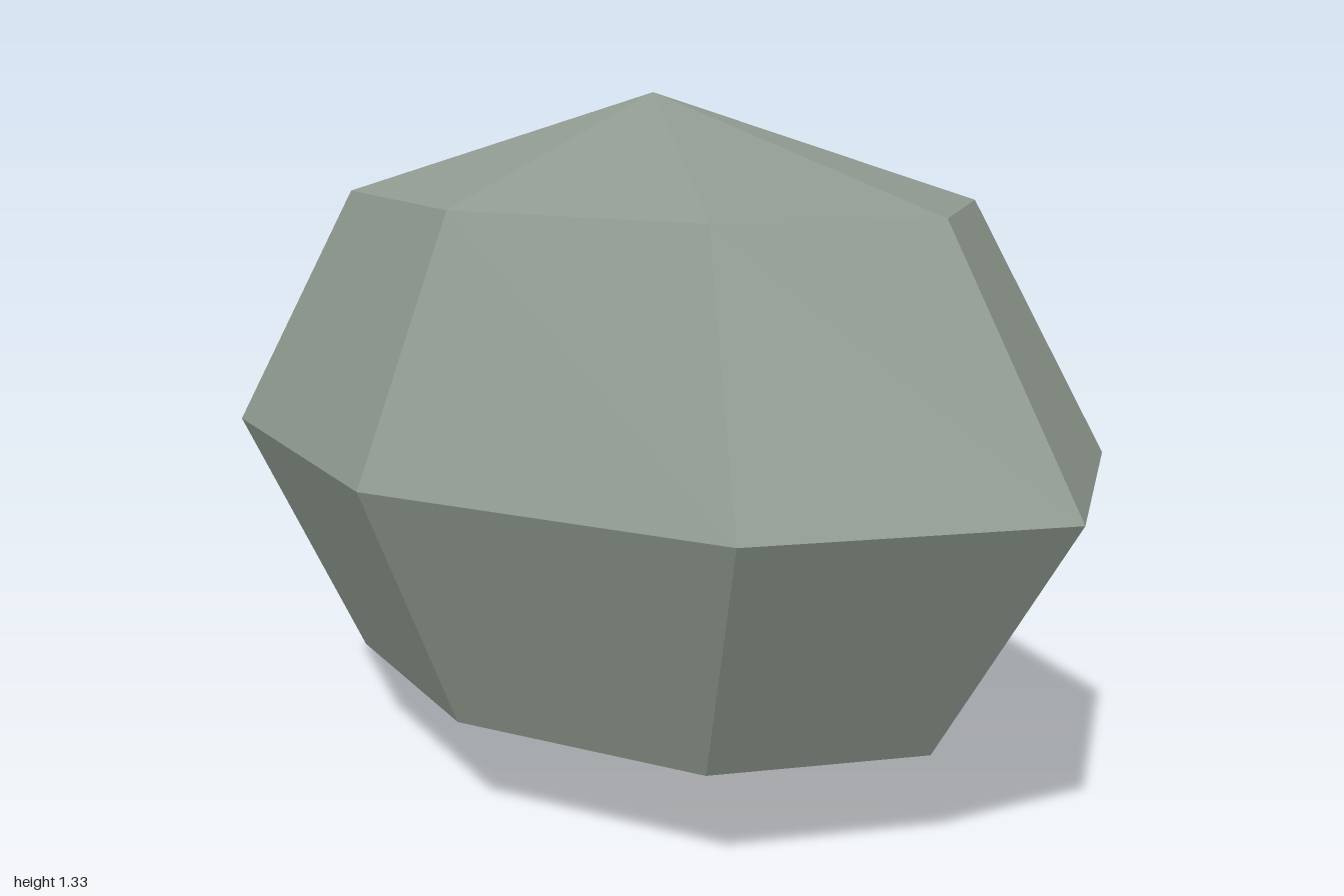
import * as THREE from 'three';

export function createModel() {
  const group = new THREE.Group();
  group.name = 'boulder';

  const stone = new THREE.MeshStandardMaterial({ color: 0x8f998f, flatShading: true });
  stone.name = 'grey green stone';

  // Faceted ellipsoid: eight sides, four bands, resting on its lower tip
  const geometry = new THREE.SphereGeometry(1, 8, 4);
  geometry.scale(1, 0.667, 0.707);
  geometry.translate(0, 0.667, 0);

  const rock = new THREE.Mesh(geometry, stone);
  rock.name = 'rock';
  group.add(rock);
  return group;
}
